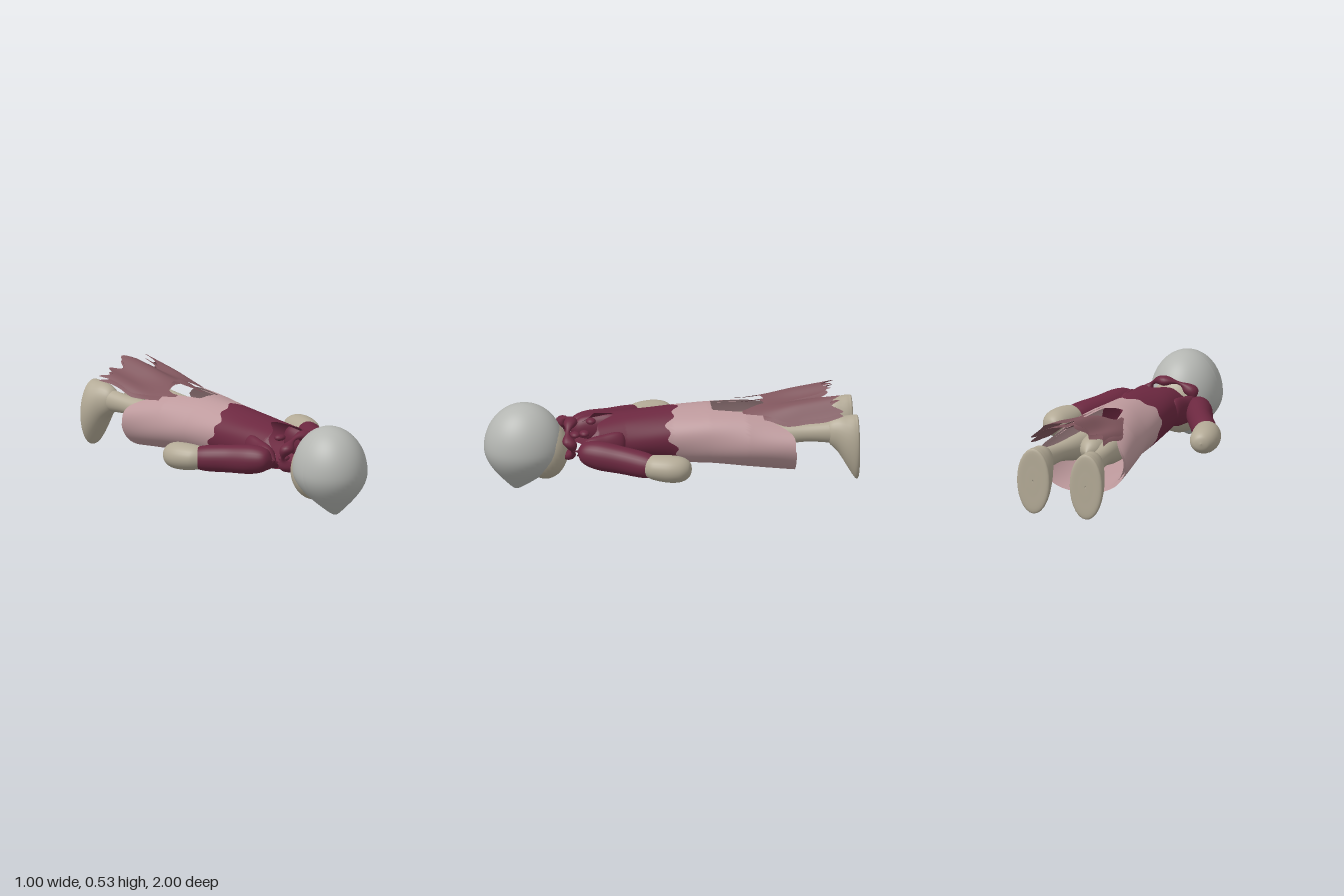
import * as THREE from 'three';
import { ParametricGeometry } from 'three/addons/geometries/ParametricGeometry.js';

const mat = (color) => new THREE.MeshStandardMaterial({ color, side: THREE.DoubleSide });
const { lerp, clamp, smoothstep } = THREE.MathUtils;

// Catmull-Rom sample of a table of rows, t in 0..1
function sample(rows, t) {
  const f = clamp(t, 0, 1) * (rows.length - 1);
  const i = Math.min(Math.floor(f), rows.length - 2), k = f - i;
  const row = (n) => rows[clamp(n, 0, rows.length - 1)];
  return rows[0].map((_, c) => {
    const [a, b, d, e] = [row(i - 1)[c], row(i)[c], row(i + 1)[c], row(i + 2)[c]];
    return b + 0.5 * k * (d - a + k * (2 * a - 5 * b + 4 * d - e + k * (3 * (b - d) + e - a)));
  });
}

// Rounded limb: rows are [x, y, z, rx, ry]; rings stand square to the path seen from above
function limb(rows, upright = false) {
  return new ParametricGeometry((u, v, p) => {
    const [x, y, z, rx, ry] = sample(rows, v);
    const a = u * Math.PI * 2;
    const first = rows[0], last = rows[rows.length - 1];
    const d = upright ? new THREE.Vector2(0, 1) : new THREE.Vector2(last[0] - first[0], last[2] - first[2]).normalize();
    const w = Math.cos(a) * Math.max(rx, 0.001);
    p.set(x + d.y * w, y + Math.sin(a) * Math.max(ry, 0.001), z - d.x * w);
  }, 28, 36);
}

// Gown cross-sections: [z, centre x, centre y, half width, half height]
const GOWN = [
  [0.52, 0, 0.26, 0.15, 0.07], [0.4, 0, 0.28, 0.165, 0.115], [0.25, -0.005, 0.28, 0.165, 0.13],
  [0, -0.005, 0.28, 0.175, 0.15], [-0.2, 0.005, 0.28, 0.195, 0.16], [-0.4, 0.01, 0.27, 0.225, 0.17],
  [-0.68, 0.01, 0.24, 0.26, 0.165],
];
function gownAt(z) {
  let i = 0;
  while (i < GOWN.length - 2 && z < GOWN[i + 1][0]) i++;
  const t = (z - GOWN[i][0]) / (GOWN[i + 1][0] - GOWN[i][0]);
  return GOWN[i].map((v, c) => lerp(v, GOWN[i + 1][c], t));
}
// Part of the gown between two edge lines, each a function of the angle round it
const shell = (from, to, inset = 0) => new ParametricGeometry((u, v, p) => {
  const a = u * Math.PI * 2, z = lerp(from(a), to(a), v);
  const [, cx, cy, rx, ry] = gownAt(z);
  const fold = 1 - inset + 0.012 * Math.sin(a * 5 + z * 9);
  p.set(cx + Math.cos(a) * rx * fold, cy + Math.sin(a) * ry * fold, z);
}, 96, 40);

const neckEdge = (a) => 0.32 + 0.17 * Math.abs(Math.cos(a)) ** 1.5
  + 0.02 * Math.sin(a * 7) + (Math.sin(a) < 0 ? 0.05 : 0);
const waistEdge = (a) => 0.0 + 0.03 * Math.sin(a * 3) + 0.015 * Math.sin(a * 11);
const hemEdge = (a) => {
  if (Math.sin(a) < 0) return -0.655;
  const c = Math.abs(Math.cos(a));
  return lerp(-0.22, -0.5, smoothstep(c, 0.3, 0.52)) - 0.15 * smoothstep(c, 0.5, 0.95);
};

// Torn cloth sheet over the legs: rows are [z, left x, right x]
const sheet = (rows, lift = 0.01) => new ParametricGeometry((u, v, p) => {
  const [z0, xl, xr] = sample(rows, v);
  const x = lerp(xl, xr, u);
  const z = z0 + v ** 6 * (0.04 + 0.035 * Math.sin(x * 75 + 2));
  const y = 0.44 + Math.max(0, -0.4 - z) * 0.15 - 2 * x * x
    + 0.015 * Math.cos(x * 38 + 1) * smoothstep(-z, 0.4, 0.7);
  p.set(x, y + lift, z);
}, 28, 36);

export function createModel() {
  const model = new THREE.Group();
  const hood = mat(0xb4b6b2), skin = mat(0xb3aa96), wine = mat(0x6c2840);
  const pink = mat(0xbd999c), rose = mat(0x80565d);
  const add = (name, geometry, material) => {
    const mesh = new THREE.Mesh(geometry, material);
    mesh.name = name;
    model.add(mesh);
    return mesh;
  };

  // Head: a ball tapering to a point at the brow
  const head = new THREE.SphereGeometry(1, 48, 36);
  const pos = head.attributes.position;
  for (let i = 0; i < pos.count; i++) {
    const y = pos.getY(i), low = Math.min(y, 0) ** 2, f = 1.02 - 0.65 * low;
    pos.setXYZ(i, -0.01 + pos.getX(i) * 0.187 * f, 0.24 + 0.24 * y, 0.785 + 0.04 * low + pos.getZ(i) * 0.211 * f);
  }
  head.computeVertexNormals();
  add('head', head, hood);
  const face = add('face', new THREE.SphereGeometry(1, 32, 24), skin);
  face.position.set(-0.01, 0.22, 0.67);
  face.scale.set(0.145, 0.165, 0.125);

  // Ragged collar round the neck
  add('collar', new ParametricGeometry((u, v, p) => {
    const a = u * Math.PI * 2, b = v * Math.PI * 2;
    const r = 0.022 + 0.012 * Math.sin(a * 5 + 1);
    const w = 1 + (r * Math.cos(b)) / 0.11;
    p.set(-0.005 + Math.cos(a) * 0.135 * w, 0.285 + Math.sin(a) * 0.09 * w,
      0.55 + 0.015 * Math.sin(a * 3) + r * 1.1 * Math.sin(b));
  }, 72, 12), wine);
  for (const [x, y, z] of [[-0.05, 0.35, 0.42], [0.08, 0.33, 0.47], [-0.09, 0.26, 0.5]]) {
    const scrap = add('collarScrap', new THREE.IcosahedronGeometry(0.028, 1), wine);
    scrap.position.set(x, y, z);
    scrap.scale.set(1.2, 0.6, 1);
  }

  // Gown: dark bodice, pale skirt open at the hem with a thin lining
  add('bodice', shell(neckEdge, waistEdge), wine);
  add('skirt', shell(waistEdge, hemEdge), pink);
  add('skirtLining', shell(() => -0.15, (a) => hemEdge(a) + 0.005, 0.06), pink);

  // Torn cloth over the legs
  const mainRows = [[-0.36, -0.115, -0.1], [-0.46, -0.15, -0.08], [-0.53, -0.18, 0.07],
    [-0.62, -0.205, 0.07], [-0.72, -0.2, 0.06], [-0.8, -0.2, 0.05], [-0.89, -0.21, 0.01]];
  const sideRows = [[-0.38, 0.1, 0.12], [-0.5, 0.06, 0.16], [-0.6, 0.07, 0.2],
    [-0.72, 0.08, 0.205], [-0.82, 0.115, 0.21], [-0.92, 0.13, 0.2]];
  for (const [name, rows] of [['tornCloth', mainRows], ['tornStrip', sideRows]]) {
    add(name, sheet(rows), rose);
    add(name + 'Underside', sheet(rows, -0.015), rose);
  }

  for (const s of [1, -1]) {
    const side = s > 0 ? 'left' : 'right';
    const flip = (rows) => rows.map(([x, ...rest]) => [x * s, ...rest]);
    // Shoulder, sleeve and mitten hand
    add(side + 'Shoulder', limb(flip([
      [0.13, 0.28, 0.24, 0, 0], [0.14, 0.28, 0.28, 0.035, 0.07], [0.155, 0.27, 0.38, 0.04, 0.075],
      [0.17, 0.265, 0.47, 0.04, 0.06], [0.17, 0.265, 0.52, 0, 0]])), wine);
    add(side + 'Sleeve', limb(flip([
      [0.185, 0.265, 0.515, 0, 0], [0.197, 0.265, 0.485, 0.055, 0.055], [0.235, 0.26, 0.41, 0.072, 0.078],
      [0.295, 0.25, 0.29, 0.066, 0.075], [0.36, 0.242, 0.18, 0.066, 0.07], [0.4, 0.24, 0.12, 0.05, 0.055]])), wine);
    add(side + 'Hand', limb(flip([
      [0.37, 0.24, 0.18, 0.05, 0.05], [0.395, 0.24, 0.13, 0.073, 0.066], [0.42, 0.237, 0.05, 0.08, 0.073],
      [0.432, 0.235, -0.015, 0.071, 0.066], [0.438, 0.235, -0.055, 0.042, 0.04], [0.44, 0.235, -0.068, 0, 0]])), skin);
    // Leg and foot, sole facing back and toes down
    add(side + 'Leg', limb(flip([
      [0.07, 0.27, -0.2, 0, 0], [0.075, 0.27, -0.3, 0.06, 0.075], [0.095, 0.28, -0.5, 0.06, 0.07],
      [0.125, 0.3, -0.7, 0.045, 0.05], [0.145, 0.305, -0.86, 0.05, 0.06]]), true), skin);
    add(side + 'Foot', limb(flip([
      [0.145, 0.305, -0.8, 0, 0], [0.145, 0.305, -0.84, 0.045, 0.06], [0.147, 0.29, -0.89, 0.07, 0.1],
      [0.15, 0.25, -0.94, 0.09, 0.145], [0.152, 0.22, -0.98, 0.096, 0.178],
      [0.152, 0.22, -0.998, 0.085, 0.168], [0.152, 0.22, -1, 0.04, 0.08], [0.152, 0.22, -1, 0, 0]]), true), skin);
  }
  // Bridge of body between the legs, seen through the tear and the hem
  add('hips', limb([[0, 0.27, -0.2, 0, 0], [0, 0.27, -0.26, 0.1, 0.07], [0, 0.28, -0.42, 0.09, 0.08],
    [0, 0.29, -0.56, 0.06, 0.06], [0, 0.29, -0.62, 0, 0]], true), skin);
  return model;
}
